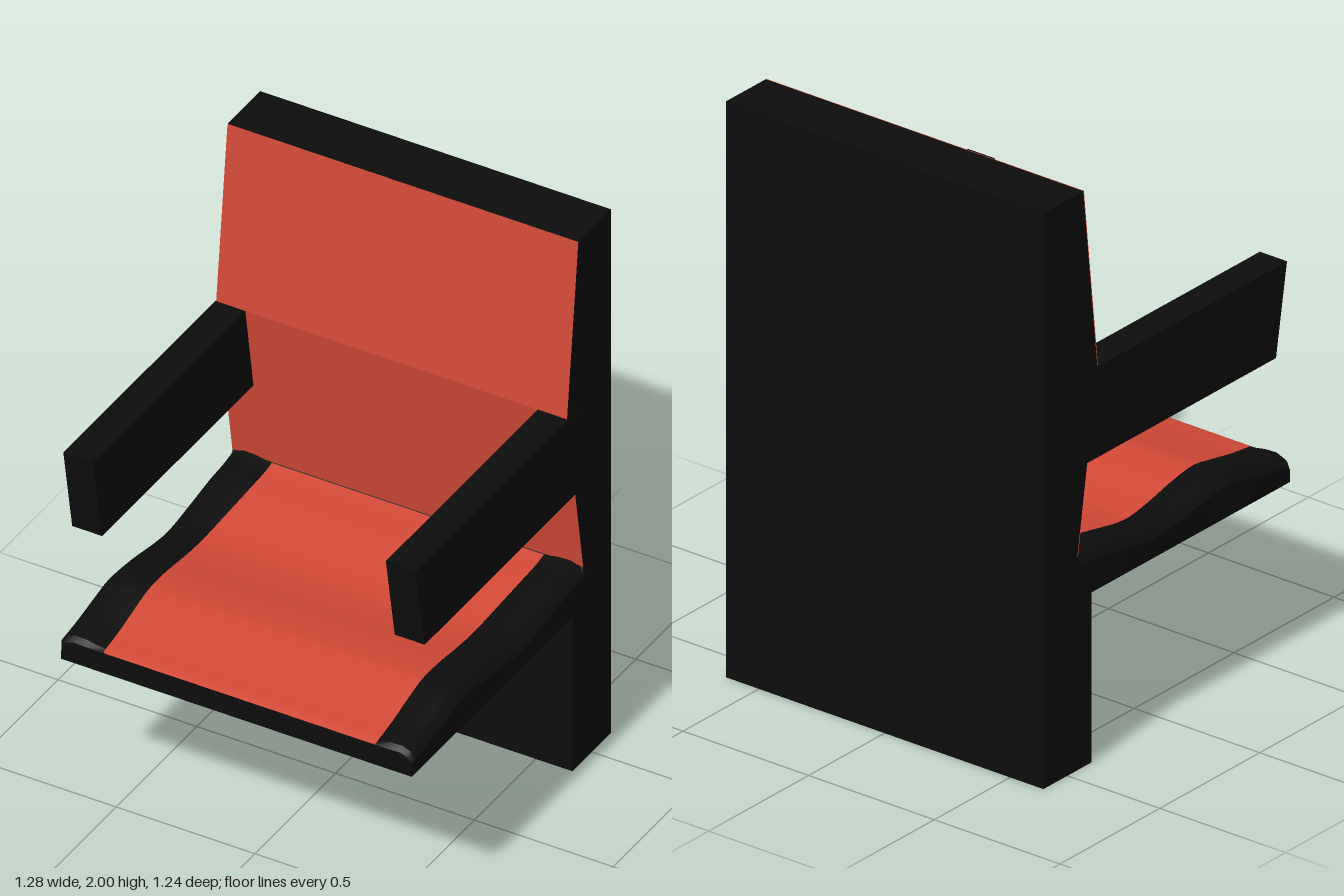
import * as THREE from 'three';
import { toCreasedNormals } from 'three/addons/utils/BufferGeometryUtils.js';

const black = new THREE.MeshStandardMaterial({ color: 0x0d0d0d });
const red = new THREE.MeshStandardMaterial({ color: 0xd24937 });
const redThin = new THREE.MeshStandardMaterial({ color: 0xd24937, side: THREE.DoubleSide });
const HALF = 0.632;

function mesh(name, geometry, material) {
  const m = new THREE.Mesh(geometry, material);
  m.name = name;
  return m;
}

// Extrude a (z, y) side profile along x, from x0 to x1
function sideExtrude(points, x0, x1) {
  const shape = new THREE.Shape(points.map(([z, y]) => new THREE.Vector2(-z, y)));
  const g = new THREE.ExtrudeGeometry(shape, { depth: x1 - x0, bevelEnabled: false });
  return g.rotateY(Math.PI / 2).translate(x0, 0, 0);
}

// Skin a row of cross-sections running front to back
function loft(sections, crease) {
  const n = sections[0].length;
  const index = [];
  for (let i = 0; i < sections.length - 1; i++) {
    for (let j = 0; j < n - 1; j++) {
      const a = i * n + j, b = a + 1, c = a + n, d = c + 1;
      index.push(a, c, b, b, c, d);
    }
  }
  const g = new THREE.BufferGeometry();
  g.setAttribute('position', new THREE.Float32BufferAttribute(sections.flat(2), 3));
  g.setIndex(index);
  return toCreasedNormals(g, crease);
}

export function createModel() {
  const group = new THREE.Group();

  // Tall back slab reaching the floor
  const backFront = [[-0.45, 0.74], [-0.35, 1.365], [-0.42, 2]];
  group.add(mesh('backSlab', sideExtrude(
    [[-0.62, 0], [-0.38, 0], [-0.38, 0.6], ...backFront, [-0.62, 2]], -HALF, HALF), black));

  // Red backrest panel lying on the front of the slab
  const panelRows = [...backFront].reverse().map(([z, y]) => [[HALF, y, z + 0.003], [-HALF, y, z + 0.003]]);
  group.add(mesh('backrestPanel', loft(panelRows, 0.05), redThin));

  // Armrests with a raked front end
  for (const side of [1, -1]) {
    const x = side * 0.581;
    group.add(mesh(side > 0 ? 'leftArmrest' : 'rightArmrest', sideExtrude(
      [[-0.42, 1.05], [0.54, 1.05], [0.595, 1.365], [-0.42, 1.365]], x - 0.054, x + 0.054), black));
  }

  // Seat: z, bolster height, sideways drift of the cushion
  const stations = [
    [0.6, 0.685, 0.01], [0.5, 0.7, 0.007], [0.4, 0.721, 0.003], [0.31, 0.737, 0],
    [0.2, 0.729, -0.006], [0.05, 0.704, -0.014], [-0.06, 0.695, -0.018],
    [-0.2, 0.714, -0.01], [-0.33, 0.735, -0.001], [-0.4, 0.741, 0], [-0.45, 0.75, 0],
  ];
  const curve = new THREE.CatmullRomCurve3(stations.map(([z, y, s]) => new THREE.Vector3(s, y, z)));
  const spine = curve.getPoints(40);
  const shell = [], cushion = [];
  const addSection = (s, y, z, w, dip) => {
    const right = [[0.49 + s, y - dip], [0.545, y - 0.002], [0.59, y], [0.62, y - 0.012], [w, y - 0.035], [HALF, 0.59]];
    const rightUp = [...right].reverse().map(([x, h]) => [x, h, z]);
    const leftDown = right.map(([x, h], k) => [k ? -x : -0.49 + s, h, z]);
    shell.push([...leftDown, ...rightUp]);
    cushion.push([[0.49 + s, y - dip, z], [-0.49 + s, y - dip, z]]);
  };
  addSection(0.01, 0.668, 0.615, 0.63, 0.002);
  for (const p of spine) addSection(p.x, p.y, p.z, 0.638, 0.014);
  group.add(mesh('seatShell', loft(shell, 0.6), black));
  group.add(mesh('seatCushion', loft(cushion, 0.6), red));

  // Front face of the seat
  const face = new THREE.Shape(shell[0].map(([x, y]) => new THREE.Vector2(x, y)));
  const front = new THREE.ShapeGeometry(face).translate(0, 0, 0.615);
  group.add(mesh('seatFront', front, black));

  return group;
}
